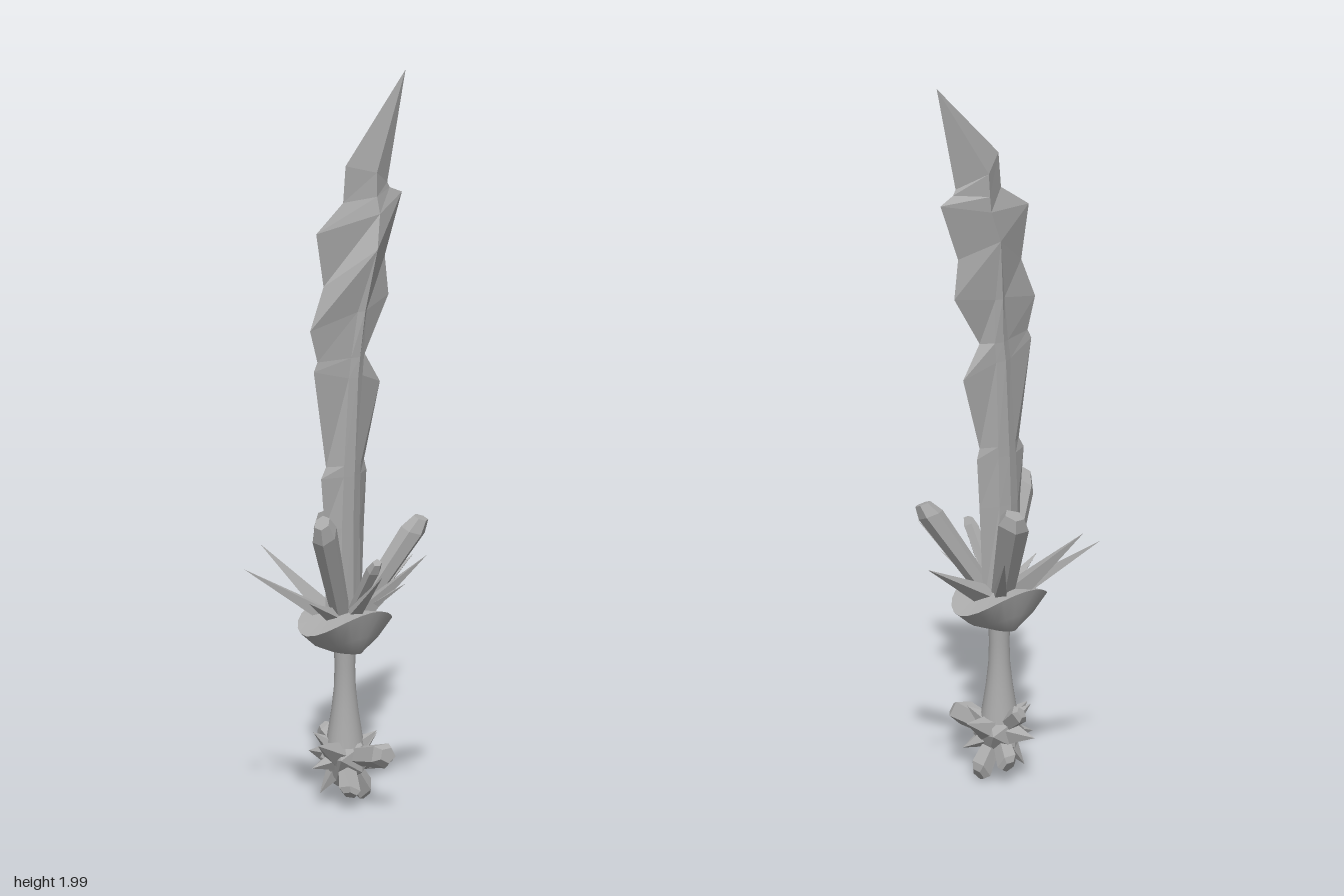
import * as THREE from 'three';

const stone = new THREE.MeshStandardMaterial({ color: 0xaaaaaa });
stone.name = 'stone grey';

// Faceted copy of a geometry: every triangle keeps its own normal
function facet(geometry) {
  const g = geometry.index ? geometry.toNonIndexed() : geometry;
  g.computeVertexNormals();
  return g;
}

// Skin over closed rings of points, counter-clockwise from above, bottom to top
function loft(rings) {
  const n = rings[0].length, index = [];
  for (let r = 0; r < rings.length - 1; r++) {
    for (let i = 0; i < n; i++) {
      const a = r * n + i, b = r * n + (i + 1) % n;
      index.push(a, b, b + n, a, b + n, a + n);
    }
  }
  const g = new THREE.BufferGeometry();
  g.setAttribute('position', new THREE.Float32BufferAttribute(rings.flat(2), 3));
  g.setIndex(index);
  g.computeVertexNormals();
  return g;
}

function add(parent, geometry, name) {
  const mesh = new THREE.Mesh(geometry, stone);
  mesh.name = name;
  parent.add(mesh);
  return mesh;
}

// Crystal from base to tip: sharp needle, or blunt prism with a slanted end
function crystal(parent, name, base, tip, r, blunt, sides) {
  const from = new THREE.Vector3(...base), dir = new THREE.Vector3(...tip).sub(from);
  const len = dir.length();
  let g;
  if (blunt) {
    const profile = [[0, 0], [r * 0.7, 0], [r, len * 0.88], [r * 0.62, len], [0, len]];
    g = new THREE.LatheGeometry(profile.map(p => new THREE.Vector2(...p)), sides);
    const p = g.attributes.position;
    for (let i = 0; i < p.count; i++) {
      if (p.getY(i) > len * 0.8) p.setY(i, p.getY(i) + p.getX(i) * 0.35);
    }
  } else {
    g = new THREE.ConeGeometry(r, len, sides);
    g.translate(0, len / 2, 0);
  }
  const mesh = add(parent, facet(g), name);
  mesh.position.copy(from);
  mesh.quaternion.setFromUnitVectors(new THREE.Vector3(0, 1, 0), dir.normalize());
}

function buildBlade() {
  // left x, y, right x, y, ridge x, y, front z, back z, ridge half width
  const rows = [
    [-0.12, 0.50, 0.02, 0.50, -0.05, 0.50, 0.037, -0.037, 0.04],
    [-0.125, 0.78, 0.035, 0.78, -0.05, 0.78, 0.037, -0.037, 0.036],
    [-0.14, 0.92, 0.045, 0.92, -0.045, 0.92, 0.037, -0.037, 0.034],
    [-0.12, 0.95, 0.035, 0.95, -0.043, 0.95, 0.037, -0.037, 0.034],
    [-0.17, 1.22, 0.10, 1.155, -0.03, 1.19, 0.037, -0.037, 0.028],
    [-0.155, 1.245, 0.035, 1.245, -0.022, 1.245, 0.037, -0.037, 0.026],
    [-0.185, 1.335, 0.135, 1.39, -0.01, 1.37, 0.045, -0.045, 0.018],
    [-0.13, 1.45, 0.12, 1.50, 0.012, 1.54, 0.07, -0.058, 0],
    [-0.16, 1.60, 0.19, 1.665, 0.05, 1.63, 0.045, -0.058, 0],
    [-0.05, 1.67, 0.14, 1.685, 0.055, 1.675, 0.03, -0.058, 0],
    [-0.04, 1.77, 0.13, 1.70, 0.06, 1.74, 0.025, -0.058, 0],
    [0.205, 2, 0.205, 2, 0.205, 2, 0, 0, 0],
  ];
  return facet(loft(rows.map(([xl, yl, xr, yr, xm, ym, zf, zb, w]) => {
    const k = w ? 0.75 : 1;
    return [
      [xr, yr, 0], [xm + w, ym, zb * k], [xm, ym, zb], [xm - w, ym, zb * k],
      [xl, yl, 0], [xm - w, ym, zf * k], [xm, ym, zf], [xm + w, ym, zf * k],
    ];
  })));
}

// Saddle-shaped cup, low at the sides and high at front and back
function buildGuard(inner) {
  const ring = (rx, rz, y, lift) => Array.from({ length: 24 }, (_, i) => {
    const a = i / 24 * Math.PI * 2;
    return [-0.043 + rx * Math.cos(a), y + lift * Math.sin(a) ** 2, -rz * Math.sin(a)];
  });
  if (inner) return loft([ring(0.157, 0.1, 0.495, 0.055), ring(0.09, 0.06, 0.53, 0.02), ring(0, 0, 0.55, 0)]);
  return loft([
    ring(0, 0, 0.43, 0), ring(0.03, 0.055, 0.43, 0), ring(0.1, 0.082, 0.455, 0.025),
    ring(0.157, 0.1, 0.495, 0.055),
  ]);
}

export function createModel() {
  const model = new THREE.Group();
  model.name = 'crystalSword';
  add(model, buildBlade(), 'blade');
  add(model, buildGuard(false), 'guardCup');
  add(model, buildGuard(true), 'guardTop');

  // Grip, flaring towards the pommel
  const profile = [[0.055, 0.17], [0.048, 0.21], [0.038, 0.27], [0.031, 0.33], [0.029, 0.39], [0.031, 0.45]];
  const grip = add(model, new THREE.LatheGeometry(profile.map(p => new THREE.Vector2(...p)), 20), 'grip');
  grip.position.x = -0.043;
  grip.scale.z = 0.95;

  // Crystals growing out of the guard: tip, radius, blunt, sides
  const cluster = new THREE.Group();
  cluster.name = 'guardCrystals';
  model.add(cluster);
  [
    [[-0.215, 0.82, 0.07], 0.037, true, 6],
    [[0.13, 0.79, 0.122], 0.034, true, 6],
    [[0.045, 0.79, -0.138], 0.046, true, 5],
    [[-0.08, 0.70, 0.15], 0.02, true, 5],
    [[-0.255, 0.665, -0.178], 0.028, false, 4],
    [[-0.15, 0.715, -0.213], 0.038, false, 4],
    [[0.133, 0.68, -0.185], 0.028, false, 4],
    [[0.25, 0.655, -0.01], 0.034, false, 4],
    [[0.055, 0.71, 0.21], 0.03, false, 4],
    [[-0.11, 0.67, 0.195], 0.026, false, 4],
    [[-0.23, 0.595, 0.035], 0.03, false, 4],
    [[0.02, 0.63, 0.165], 0.018, false, 4],
  ].forEach(([tip, r, blunt, sides]) => {
    const base = [-0.043 + (tip[0] + 0.043) * 0.12, 0.52, tip[2] * 0.12];
    crystal(cluster, blunt ? 'prismCrystal' : 'needleCrystal', base, tip, r, blunt, sides);
  });

  // Pommel: rough core with stubby crystals all round
  const pommel = new THREE.Group();
  pommel.name = 'pommel';
  model.add(pommel);
  const centre = [-0.04, 0.14, 0];
  add(pommel, facet(new THREE.IcosahedronGeometry(0.072, 0)), 'pommelCore').position.set(...centre);
  [
    [[-0.05, 0.165, 0.162], 0.036, true],
    [[0.035, 0.03, 0.005], 0.032, true],
    [[-0.1, 0.05, 0.07], 0.03, true],
    [[0.0, 0.06, -0.075], 0.03, true],
    [[-0.03, 0.21, -0.095], 0.028, true],
    [[-0.175, 0.19, 0.02], 0.055, false],
    [[0.088, 0.185, 0], 0.055, false],
    [[-0.05, 0.14, -0.125], 0.055, false],
    [[-0.155, 0.12, -0.02], 0.045, false],
    [[0.05, 0.1, 0.05], 0.045, false],
    [[-0.115, 0.21, -0.05], 0.045, false],
    [[0.02, 0.21, 0.06], 0.045, false],
    [[-0.1, 0.04, -0.04], 0.045, false],
  ].forEach(([tip, r, blunt]) => {
    crystal(pommel, blunt ? 'pommelPrism' : 'pommelSpike', centre, tip, r, blunt, 5);
  });
  return model;
}
